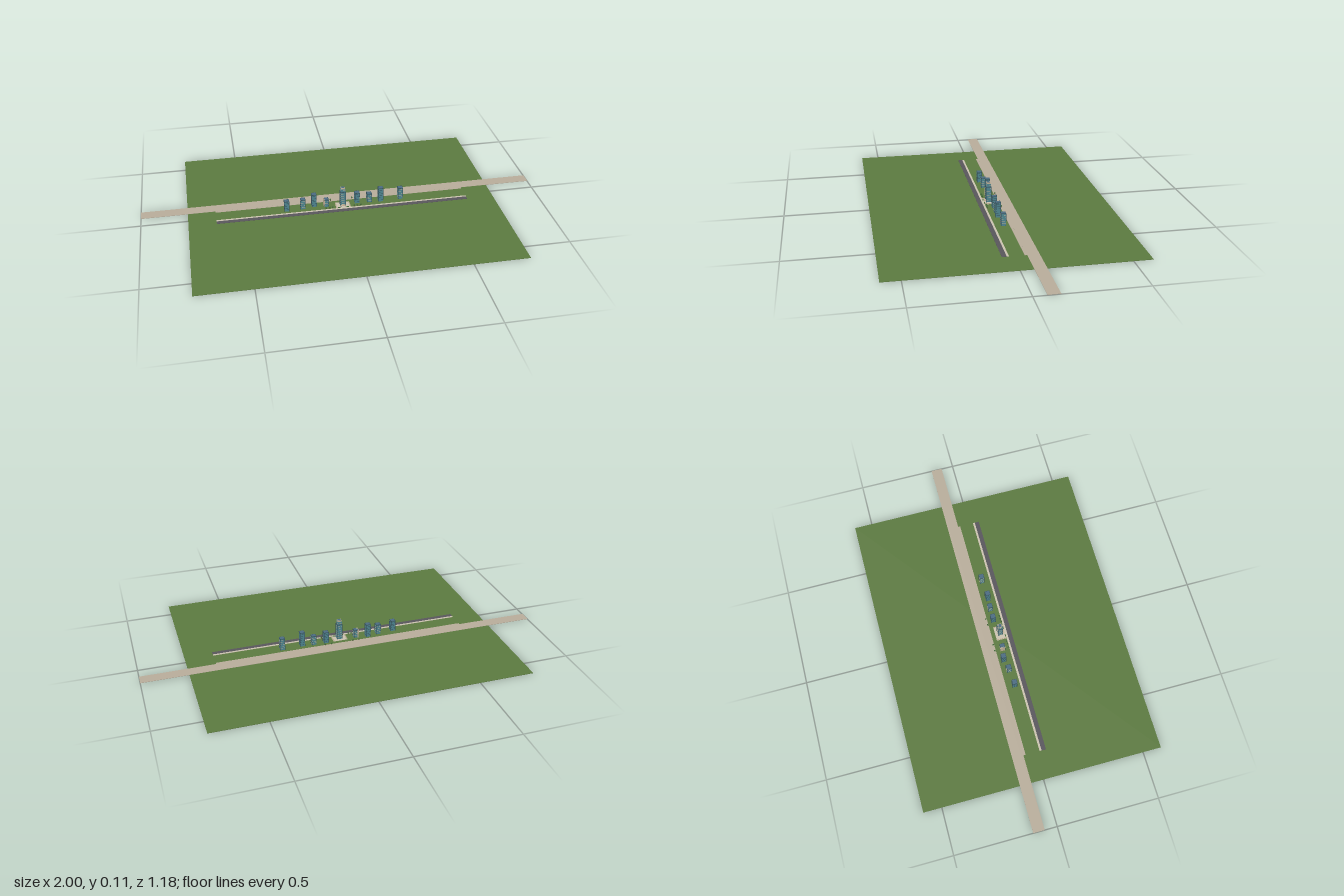
import * as THREE from 'three';

const mat = (name, color) => {
  const m = new THREE.MeshStandardMaterial({ color });
  m.name = name;
  return m;
};

export function createModel() {
  const grass = mat('grass', 0x5c7a40);
  const sand = mat('sand', 0xb8ad9b);
  const asphalt = mat('asphalt', 0x58565c);
  const paving = mat('paving', 0xcbc3b0);
  const glass = mat('glass', 0x4f8792);
  const frame = mat('dark frame', 0x36505a);
  const trim = mat('stone trim', 0xc2b196);
  const roof = mat('roof', 0x4c6c82);
  const leaf = mat('leaf', 0x3f6a35);
  const trunk = mat('trunk', 0x6b4d35);

  const model = new THREE.Group();
  model.name = 'waterfrontCity';

  // Box placed by the centre of its base
  const box = (parent, name, m, w, h, d, x, y, z) => {
    const b = new THREE.Mesh(new THREE.BoxGeometry(w, h, d), m);
    b.name = name;
    b.position.set(x, y + h / 2, z);
    parent.add(b);
    return b;
  };

  // Land, long strip, promenade and road
  box(model, 'ground', grass, 1.544, 0.002, 1.18, 0, 0, 0);
  box(model, 'longStrip', sand, 2, 0.002, 0.056, 0, 0.001, -0.089);
  box(model, 'innerStrip', sand, 1.27, 0.0008, 0.012, 0, 0.002, -0.056);
  box(model, 'sidewalk', paving, 1.27, 0.0015, 0.01, 0, 0.002, 0.025);
  box(model, 'road', asphalt, 1.27, 0.001, 0.022, 0, 0.002, 0.041);

  // Glass block with corner posts, floor bands and a parapet roof
  const building = (name, x, z, w, d, h, floors, bandMat) => {
    const g = new THREE.Group();
    g.name = name;
    g.position.set(x, 0.002, z);
    model.add(g);
    box(g, 'glassBody', glass, w, h - 0.003, d, 0, 0, 0);
    for (let i = 1; i < floors; i++)
      box(g, 'floorBand', bandMat, w + 0.0012, 0.0012, d + 0.0012, 0, (h * i) / floors, 0);
    for (const sx of [-1, 1])
      for (const sz of [-1, 1])
        box(g, 'cornerPost', frame, 0.002, h - 0.003, 0.002, sx * w / 2, 0, sz * d / 2);
    box(g, 'parapet', frame, w + 0.002, 0.0025, d + 0.002, 0, h - 0.003, 0);
    box(g, 'roofTop', roof, w - 0.002, 0.001, d - 0.002, 0, h - 0.001, 0);
    return g;
  };

  // x, z, height, floors
  [
    [-0.284, -0.008, 0.058, 6], [-0.202, -0.015, 0.054, 5], [-0.144, -0.026, 0.070, 7],
    [-0.084, -0.015, 0.042, 4], [0.075, -0.021, 0.060, 6], [0.138, -0.02, 0.049, 5],
    [0.196, -0.016, 0.077, 7], [0.299, -0.021, 0.064, 6],
  ].forEach(([x, z, h, floors], i) => {
    const g = building('officeBlock', x, z, 0.023, 0.023, h, floors, i % 2 ? trim : frame);
    if (i === 3) box(g, 'stoneWing', trim, 0.006, h, 0.025, -0.0095, 0, 0);
  });

  // Central plaza with low walls
  box(model, 'plaza', paving, 0.074, 0.0015, 0.055, 0, 0.002, -0.003);
  for (const s of [-1, 1]) {
    box(model, 'plazaWall', trim, 0.003, 0.004, 0.05, s * 0.034, 0.003, -0.003);
    box(model, 'planter', leaf, 0.012, 0.003, 0.005, s * 0.022, 0.003, 0.018);
    box(model, 'entranceColumn', trim, 0.003, 0.009, 0.003, s * 0.009, 0.003, 0.014);
  }
  box(model, 'canopy', trim, 0.024, 0.0015, 0.01, 0, 0.011, 0.012);

  // Stepped central tower
  const tower = building('centralTower', 0, -0.005, 0.026, 0.024, 0.084, 7, trim);
  box(tower, 'upperTier', glass, 0.023, 0.014, 0.021, 0, 0.084, 0);
  box(tower, 'tierBand', trim, 0.024, 0.0015, 0.022, 0, 0.09, 0);
  box(tower, 'crown', trim, 0.02, 0.007, 0.018, 0, 0.098, 0);
  box(tower, 'crownRoof', roof, 0.016, 0.001, 0.014, 0, 0.105, 0);

  // Small trees around the plaza
  const crownGeo = new THREE.IcosahedronGeometry(0.0042, 1);
  const trunkGeo = new THREE.CylinderGeometry(0.0009, 0.0012, 0.006, 6);
  for (const s of [-1, 1])
    for (const [x, z] of [[0.055, 0.016], [0.07, 0.016], [0.088, 0.016], [0.055, -0.055], [0.088, -0.055]]) {
      const t = new THREE.Group();
      t.name = 'tree';
      t.position.set(s * x, 0.002, z);
      const stem = new THREE.Mesh(trunkGeo, trunk);
      stem.name = 'treeTrunk';
      stem.position.y = 0.003;
      const top = new THREE.Mesh(crownGeo, leaf);
      top.name = 'treeCrown';
      top.position.y = 0.008;
      t.add(stem, top);
      model.add(t);
    }

  return model;
}
